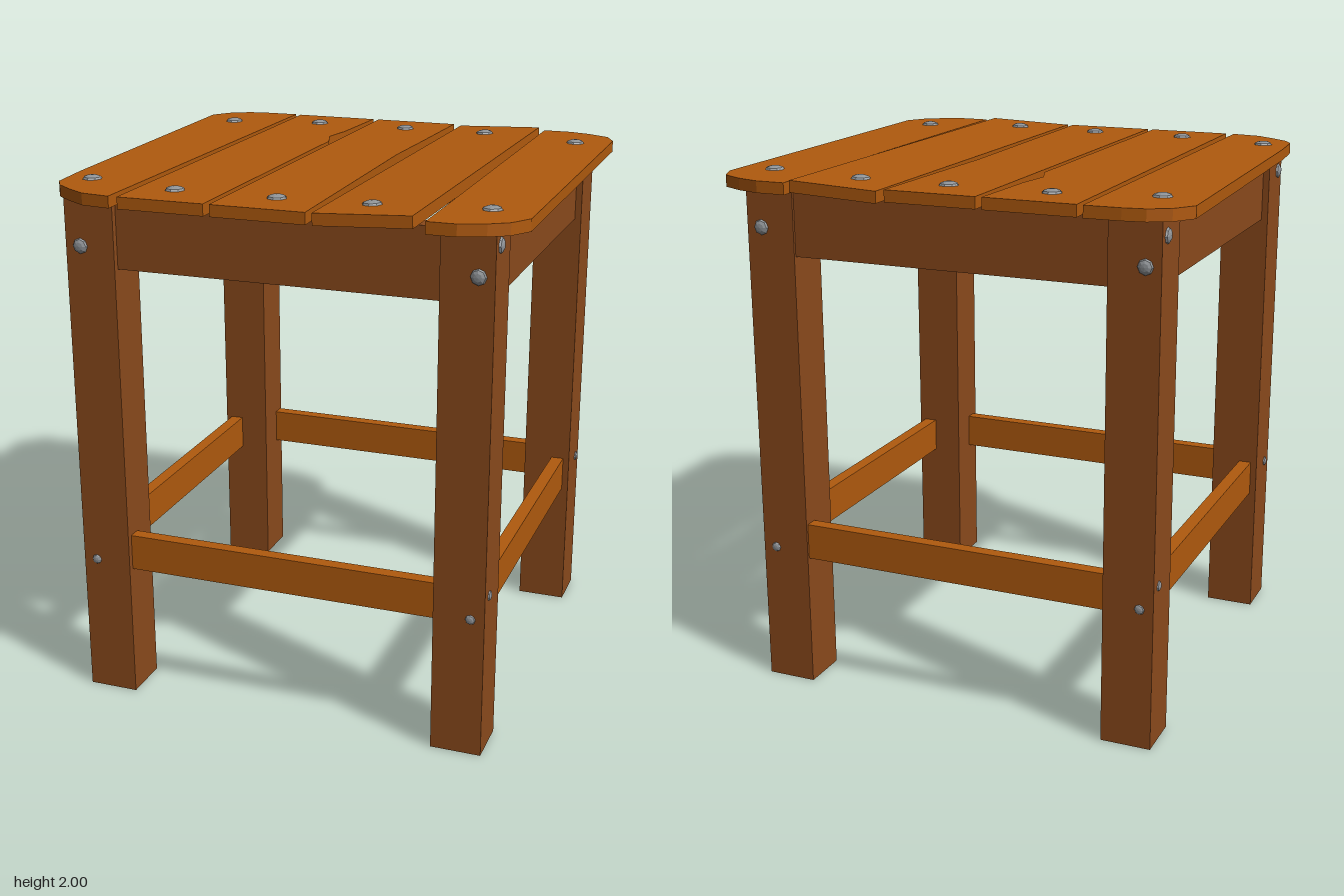
import * as THREE from 'three';

const darkWood = new THREE.MeshStandardMaterial({ color: 0x8b4a1c, flatShading: true });
const lightWood = new THREE.MeshStandardMaterial({ color: 0xb05a0e, flatShading: true });
const steel = new THREE.MeshStandardMaterial({ color: 0x909498, flatShading: true });

const SEAT_BOTTOM = 1.942, SEAT_THICK = 0.043;

function box(parent, name, material, [w, h, d], [x, y, z]) {
  const mesh = new THREE.Mesh(new THREE.BoxGeometry(w, h, d), material);
  mesh.name = name;
  mesh.position.set(x, y, z);
  parent.add(mesh);
}

// Shallow faceted dome whose crown points along dir
function bolt(parent, name, radius, height, [x, y, z], dir) {
  const geo = new THREE.SphereGeometry(radius, 8, 3, 0, Math.PI * 2, 0, Math.PI / 2);
  geo.scale(1, height / radius, 1);
  const mesh = new THREE.Mesh(geo, steel);
  mesh.name = name;
  mesh.position.set(x, y, z);
  mesh.quaternion.setFromUnitVectors(new THREE.Vector3(0, 1, 0), new THREE.Vector3(...dir));
  parent.add(mesh);
}

// Seat planks: outline as [x, z] corners, bolt centre x and distance from the middle, tilt
const planks = [
  { bx: -0.747, bz: 0.637, outline: [[-0.56, -0.886], [-0.69, -0.882], [-0.77, -0.87], [-0.845, -0.83],
    [-0.9, -0.755], [-0.853, 0.53], [-0.838, 0.715], [-0.805, 0.77], [-0.74, 0.82], [-0.665, 0.867], [-0.555, 0.882]] },
  { bx: -0.383, bz: 0.713, outline: [[-0.537, -0.882], [-0.2, -0.882], [-0.215, -0.56], [-0.235, -0.43],
    [-0.2, -0.335], [-0.2, 0.882], [-0.522, 0.882]] },
  { bx: 0, bz: 0.713, outline: [[-0.177, -0.882], [0.163, -0.882], [0.153, -0.455], [0.144, -0.16],
    [0.168, 0.882], [-0.177, 0.882]] },
  { bx: 0.345, bz: 0.713, tiltZ: 0.04, tiltX: -0.003, outline: [[0.192, -0.89], [0.534, -0.882],
    [0.534, 0.866], [0.192, 0.882]] },
  { bx: 0.738, bz: 0.64, tiltX: -0.003, outline: [[0.556, -0.882], [0.666, -0.882], [0.752, -0.858], [0.834, -0.815],
    [0.872, -0.733], [0.891, 0.728], [0.843, 0.805], [0.776, 0.848], [0.685, 0.882], [0.58, 0.882]] },
];

function makePlank({ bx, bz, outline, tiltX = 0, tiltZ = 0 }) {
  const group = new THREE.Group();
  group.name = 'seatPlank';
  // Shape y becomes -z once the extrusion is laid flat
  const shape = new THREE.Shape(outline.map(([x, z]) => new THREE.Vector2(x - bx, -z)));
  const geo = new THREE.ExtrudeGeometry(shape, { depth: SEAT_THICK, bevelEnabled: false });
  geo.rotateX(-Math.PI / 2);
  const board = new THREE.Mesh(geo, lightWood);
  board.name = 'plankBoard';
  group.add(board);
  for (const s of [-1, 1]) bolt(group, 'seatBolt', 0.036, 0.014, [0, SEAT_THICK, s * bz], [0, 1, 0]);
  group.position.set(bx, SEAT_BOTTOM + (tiltZ ? 0.003 : 0), 0);
  group.rotation.set(tiltX, 0, tiltZ);
  return group;
}

export function createModel() {
  const stool = new THREE.Group();
  stool.name = 'stool';

  const seat = new THREE.Group();
  seat.name = 'seat';
  planks.forEach((p) => seat.add(makePlank(p)));
  stool.add(seat);

  // Legs with bolts on their two outer faces
  const legZ = { 1: 0.684, [-1]: -0.666 };
  for (const sx of [-1, 1]) {
    for (const sz of [-1, 1]) {
      const leg = new THREE.Group();
      leg.name = (sz > 0 ? 'front' : 'back') + (sx > 0 ? 'Left' : 'Right') + 'Leg';
      const cz = legZ[sz], faceZ = cz + sz * 0.092, faceX = sx * 0.79;
      box(leg, 'legPost', darkWood, [0.19, 1.942, 0.184], [sx * 0.695, 0.971, cz]);
      const boltZ = sz > 0 ? 0.72 : -0.705;
      bolt(leg, 'apronBolt', 0.029, 0.014, [sx * 0.733, sx > 0 ? 1.79 : 1.77, faceZ], [0, 0, sz]);
      bolt(leg, 'stretcherBolt', 0.019, 0.009, [sx * 0.738, 0.542, faceZ], [0, 0, sz]);
      bolt(leg, 'apronBolt', 0.029, 0.014, [faceX, sx > 0 ? 1.89 : 1.87, boltZ], [sx, 0, 0]);
      bolt(leg, 'stretcherBolt', 0.019, 0.009, [faceX, 0.62, boltZ], [sx, 0, 0]);
      stool.add(leg);
    }
  }

  // Aprons under the seat and stretchers lower down, between the legs
  for (const s of [-1, 1]) {
    const outerZ = s > 0 ? 0.752 : -0.748;
    const end = s > 0 ? 'front' : 'back', side = s > 0 ? 'left' : 'right';
    box(stool, end + 'Apron', darkWood, [1.2, 0.252, 0.076], [0, 1.816, outerZ - s * 0.038]);
    box(stool, side + 'Apron', darkWood, [0.076, 0.252, 1.166], [s * 0.727, 1.816, 0.009]);
    box(stool, end + 'Stretcher', lightWood, [1.2, 0.138, 0.05], [0, 0.582, outerZ - s * 0.025]);
    box(stool, side + 'Stretcher', lightWood, [0.05, 0.138, 1.166], [s * 0.74, 0.582, 0.009]);
  }
  return stool;
}
